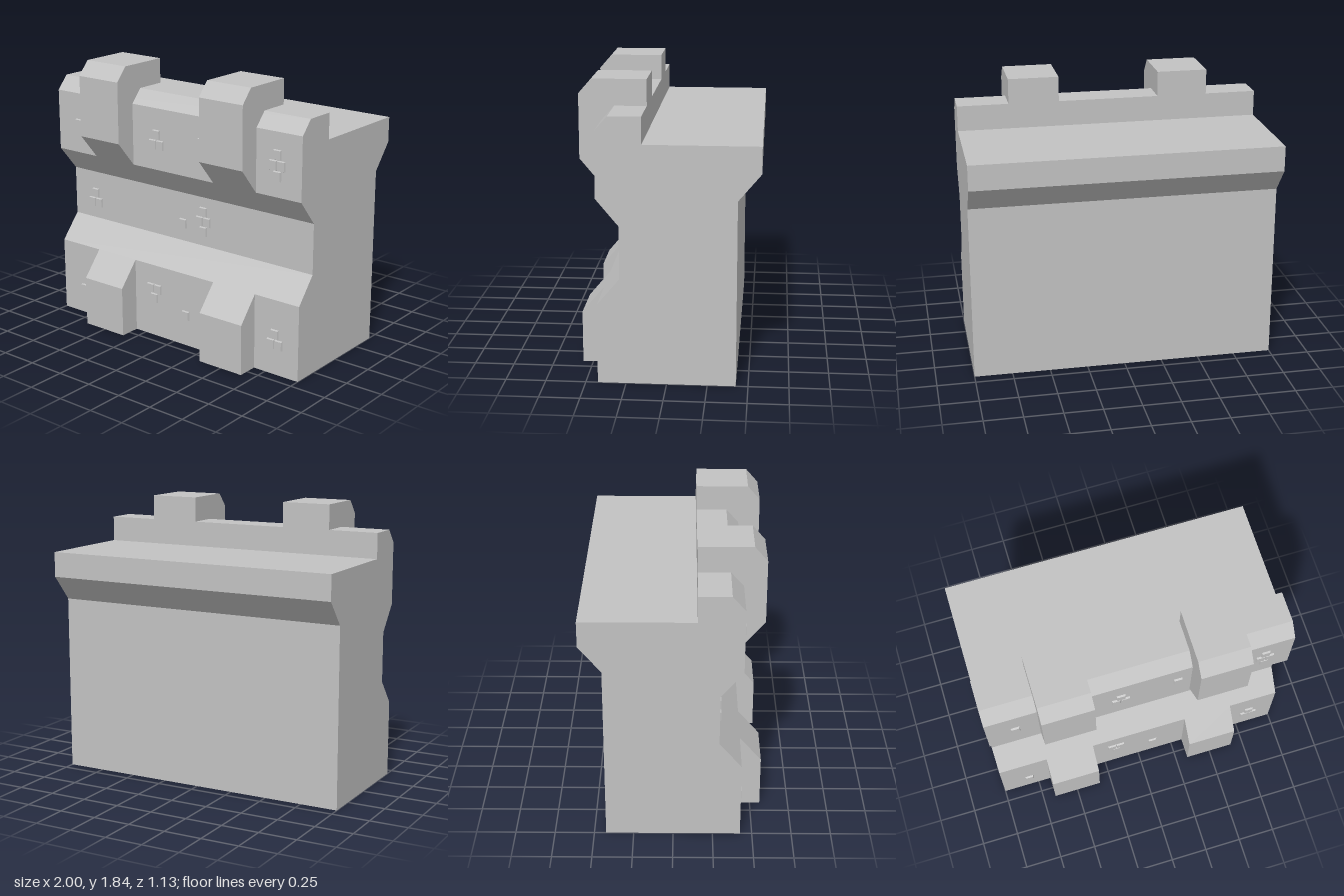
import * as THREE from 'three';

export function createModel() {
  const group = new THREE.Group();
  const stone = new THREE.MeshStandardMaterial({ color: 0xc2c2c2 });
  stone.name = 'stone';

  // Extrude a (z, y) side profile across x, centred on centreX
  function slab(name, profile, width, centreX) {
    const shape = new THREE.Shape(profile.map(([z, y]) => new THREE.Vector2(z, y)));
    const geometry = new THREE.ExtrudeGeometry(shape, { depth: width, bevelEnabled: false });
    geometry.rotateY(-Math.PI / 2).translate(centreX + width / 2, 0, 0);
    const mesh = new THREE.Mesh(geometry, stone);
    mesh.name = name;
    group.add(mesh);
  }

  // Wall with waisted front, parapet, walkway and overhanging rear ledge
  slab('wallBody', [
    [-0.425, 0], [0.425, 0], [0.425, 0.503], [0.285, 0.67], [0.285, 1.002],
    [0.425, 1.17], [0.425, 1.58], [0.345, 1.67], [0.145, 1.67], [0.145, 1.503],
    [-0.565, 1.503], [-0.565, 1.337], [-0.425, 1.17],
  ], 2, 0);

  // Paired buttresses at the foot and merlons on the parapet
  for (const x of [-0.498, 0.498]) {
    slab('buttress', [[0.425, 0], [0.565, 0], [0.565, 0.336], [0.425, 0.503]], 0.332, x);
    slab('merlon', [
      [0.425, 1.17], [0.565, 1.337], [0.565, 1.743], [0.485, 1.835],
      [0.145, 1.835], [0.145, 1.67], [0.345, 1.67], [0.425, 1.58],
    ], 0.332, x);
  }

  // Small raised bricks with chamfered sides
  const brick = new THREE.CylinderGeometry(0.025 * Math.SQRT2, 0.029 * Math.SQRT2, 0.012, 4)
    .toNonIndexed();
  brick.rotateY(Math.PI / 4).rotateX(Math.PI / 2).scale(1, 1.12, 1);
  brick.computeVertexNormals();

  const rows = [
    { name: 'parapetBrick', z: 0.425, at: [
      [-0.815, 1.37], [-0.13, 1.405], [-0.16, 1.338], [-0.1, 1.338], [0.243, 1.41],
      [0.822, 1.437], [0.792, 1.37], [0.852, 1.37], [0.822, 1.303]] },
    { name: 'waistBrick', z: 0.285, at: [
      [-0.81, 0.85], [-0.84, 0.783], [-0.78, 0.783], [-0.028, 0.79],
      [0.142, 0.902], [0.112, 0.835], [0.172, 0.835], [0.142, 0.768]] },
    { name: 'baseBrick', z: 0.425, at: [
      [-0.808, 0.18], [-0.195, 0.338], [-0.135, 0.338], [-0.165, 0.272], [0.104, 0.212],
      [0.822, 0.273], [0.792, 0.206], [0.852, 0.206]] },
  ];
  for (const { name, z, at } of rows) {
    for (const [x, y] of at) {
      const mesh = new THREE.Mesh(brick, stone);
      mesh.name = name;
      mesh.position.set(x, y, z + 0.006);
      group.add(mesh);
    }
  }
  return group;
}
